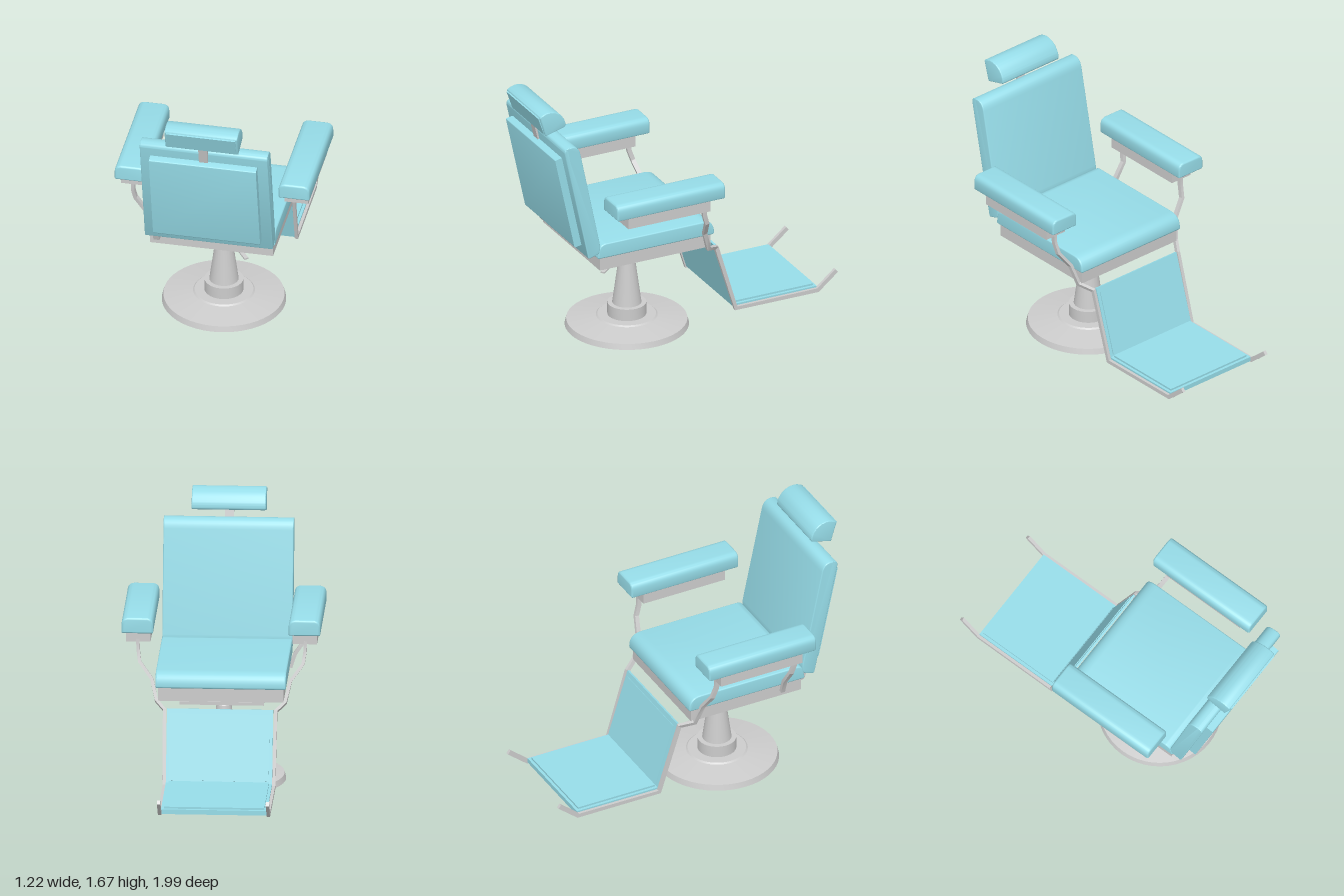
import * as THREE from 'three';
import { toCreasedNormals } from 'three/addons/utils/BufferGeometryUtils.js';

const metal = new THREE.MeshStandardMaterial({ color: 0xcccccc });
const teal = new THREE.MeshStandardMaterial({ color: 0x96dce8 });

// Closed outline from [a, b, cornerRadius] points
function outline(points) {
  const shape = new THREE.Shape();
  const n = points.length;
  points.forEach(([a, b, r = 0], i) => {
    const p = new THREE.Vector2(a, b);
    const toward = (q) => p.clone().add(new THREE.Vector2(q[0], q[1]).sub(p).setLength(r));
    const start = toward(points[(i + n - 1) % n]);
    const end = toward(points[(i + 1) % n]);
    if (i === 0) shape.moveTo(start.x, start.y);
    else shape.lineTo(start.x, start.y);
    if (r > 0) shape.quadraticCurveTo(p.x, p.y, end.x, end.y);
  });
  shape.closePath();
  return shape;
}

function extrude(points, depth, bevel = 0) {
  const geo = new THREE.ExtrudeGeometry(outline(points), {
    depth: depth - 2 * bevel, curveSegments: 8, bevelEnabled: bevel > 0,
    bevelSize: bevel, bevelOffset: -bevel, bevelThickness: bevel, bevelSegments: 3,
  });
  geo.translate(0, 0, -depth / 2 + bevel);
  return geo;
}

// Side profile in (z, y), extruded across x
const across = (points, width, bevel) => toCreasedNormals(extrude(points, width, bevel).rotateY(-Math.PI / 2), 0.6);

// Rectangular bar following a polyline; w across x, h along the other axis
function barGeometry(path, w, h) {
  const pts = path.map((p) => new THREE.Vector3(...p));
  const pos = [], idx = [];
  pts.forEach((p, i) => {
    const a = pts[Math.max(i - 1, 0)], b = pts[Math.min(i + 1, pts.length - 1)];
    const t = new THREE.Vector3();
    if (i > 0) t.add(p.clone().sub(a).normalize());
    if (i < pts.length - 1) t.add(b.clone().sub(p).normalize());
    t.normalize();
    const side = new THREE.Vector3(1, 0, 0).addScaledVector(t, -t.x).normalize();
    const up = t.clone().cross(side);
    [[-1, -1], [1, -1], [1, 1], [-1, 1]].forEach(([u, v]) => {
      pos.push(...p.clone().addScaledVector(side, u * w / 2).addScaledVector(up, v * h / 2).toArray());
    });
    if (i > 0) {
      for (let k = 0; k < 4; k++) {
        const c = (i - 1) * 4 + k, d = (i - 1) * 4 + (k + 1) % 4;
        idx.push(c, d, d + 4, c, d + 4, c + 4);
      }
    }
  });
  const e = (pts.length - 1) * 4;
  idx.push(0, 2, 1, 0, 3, 2, e, e + 1, e + 2, e, e + 2, e + 3);
  const geo = new THREE.BufferGeometry();
  geo.setAttribute('position', new THREE.Float32BufferAttribute(pos, 3));
  geo.setIndex(idx);
  return toCreasedNormals(geo, 0.4);
}

export function createModel() {
  const model = new THREE.Group();
  model.name = 'barberChair';
  const add = (name, geo, mat = metal, x = 0, y = 0, z = 0) => {
    const mesh = new THREE.Mesh(geo, mat);
    mesh.name = name;
    mesh.position.set(x, y, z);
    model.add(mesh);
    return mesh;
  };
  // Box given by its min and max corners
  const box = (name, [x0, x1], [y0, y1], [z0, z1], mat = metal) =>
    add(name, new THREE.BoxGeometry(x1 - x0, y1 - y0, z1 - z0), mat, (x0 + x1) / 2, (y0 + y1) / 2, (z0 + z1) / 2);

  // Round base, collar, tapered column and piston
  const profile = [[0, 0], [0.382, 0], [0.372, 0.036], [0.19, 0.062], [0.18, 0.07], [0.12, 0.07], [0.12, 0.147],
    [0.09, 0.147], [0.046, 0.475], [0.04, 0.487], [0.02, 0.487], [0.02, 0.55], [0, 0.55]];
  add('pedestal', toCreasedNormals(new THREE.LatheGeometry(profile.map((p) => new THREE.Vector2(...p)), 48), 0.25),
    metal, 0, 0, 0.28);

  // Pump lever
  add('pumpLever', barGeometry([[0, 0.505, 0.28], [0.08, 0.498, 0.39], [0.12, 0.492, 0.44]], 0.014, 0.012));
  add('leverGrip', barGeometry([[0.115, 0.492, 0.435], [0.14, 0.49, 0.47], [0.195, 0.485, 0.545]], 0.026, 0.01));

  // Frame beneath the seat
  for (const s of [-1, 1]) {
    const zc = 0.28 + s * 0.245;
    box('frameCrossRail', [-0.258, 0.258], [0.545, 0.565], [zc - 0.011, zc + 0.011]);
    box('frameSideRail', [s * 0.247 - 0.011, s * 0.247 + 0.011], [0.545, 0.565], [0.025, 0.535]);
    for (const x of [-0.247, 0.247]) box('framePost', [x - 0.008, x + 0.008], [0.56, 0.61], [zc - 0.008, zc + 0.008]);
  }
  box('frameCentreRail', [-0.25, 0.25], [0.545, 0.565], [0.245, 0.315]);

  // Seat
  box('seatBase', [-0.385, 0.385], [0.605, 0.692], [-0.1, 0.66]);
  add('seatCushion', across([[-0.12, 0.69, 0.012], [0.68, 0.69, 0.012], [0.665, 0.787, 0.045], [-0.12, 0.787, 0.085]], 0.8, 0.008), teal);

  // Reclined backrest with a rear panel
  add('backCushion', across([[0.668, 0.728, 0.02], [0.745, 0.705, 0.015], [0.912, 1.48, 0.03],
    [0.815, 1.51, 0.08], [0.662, 0.775, 0.025]], 0.8, 0.006), teal);
  add('backPanel', across([[0.74, 0.785], [0.808, 0.772, 0.01], [0.942, 1.392, 0.01], [0.88, 1.404]], 0.67), teal);
  add('backBracket', barGeometry([[-0.338, 0.72, 0.71], [-0.338, 0.66, 0.69], [-0.338, 0.655, 0.65]], 0.036, 0.02));

  // Headrest
  add('headrestStem', barGeometry([[0, 1.38, 0.89], [0, 1.54, 0.928]], 0.056, 0.022));
  add('headrestCushion', across([[0.815, 1.553, 0.012], [0.952, 1.514, 0.008], [0.992, 1.648, 0.012],
    [0.935, 1.675, 0.035], [0.858, 1.655, 0.04], [0.815, 1.59, 0.025]], 0.456, 0.006), teal);
  add('headrestBack', across([[0.945, 1.524], [0.957, 1.521], [0.998, 1.638], [0.98, 1.645]], 0.43), teal);

  // Armrests, front supports and footrest side bars, mirrored
  const armOutline = [[-0.097, 1.03, 0.01], [0.097, 1.03, 0.01], [0.097, 1.13, 0.045], [-0.097, 1.13, 0.045]];
  for (const s of [-1, 1]) {
    add('armCushion', toCreasedNormals(extrude(armOutline, 0.742, 0.012), 0.6), teal, s * 0.513, 0, 0.28);
    box('armBase', [s * 0.511 - 0.075, s * 0.511 + 0.075], [0.952, 1.032], [0, 0.565]);
    add('sideBar', barGeometry([[0.515, 0.97, 0.012], [0.512, 0.9, 0.008], [0.502, 0.83, -0.015], [0.425, 0.725, -0.04],
      [0.395, 0.6, -0.08], [0.342, 0.567, -0.16], [0.336, 0.122, -0.297], [0.334, 0.122, -0.86],
      [0.334, 0.228, -0.988]].map(([x, y, z]) => [s * x, y, z]), 0.02, 0.028));
  }
  // Rear arm support on one side
  add('rearArmPost', barGeometry([[-0.515, 0.97, 0.55], [-0.512, 0.9, 0.547], [-0.502, 0.84, 0.53],
    [-0.425, 0.73, 0.525], [-0.395, 0.64, 0.525]], 0.022, 0.028));

  // Calf panel and foot plate, each with a raised pad
  add('calfPanel', across([[-0.155, 0.575], [-0.168, 0.578], [-0.308, 0.125], [-0.294, 0.12]], 0.652), teal);
  add('calfPad', across([[-0.17, 0.545], [-0.182, 0.55], [-0.305, 0.16], [-0.29, 0.155]], 0.61), teal);
  box('footPlate', [-0.326, 0.326], [0.115, 0.145], [-0.86, -0.3], teal);
  box('footPad', [-0.308, 0.308], [0.14, 0.157], [-0.842, -0.31], teal);

  return model;
}
